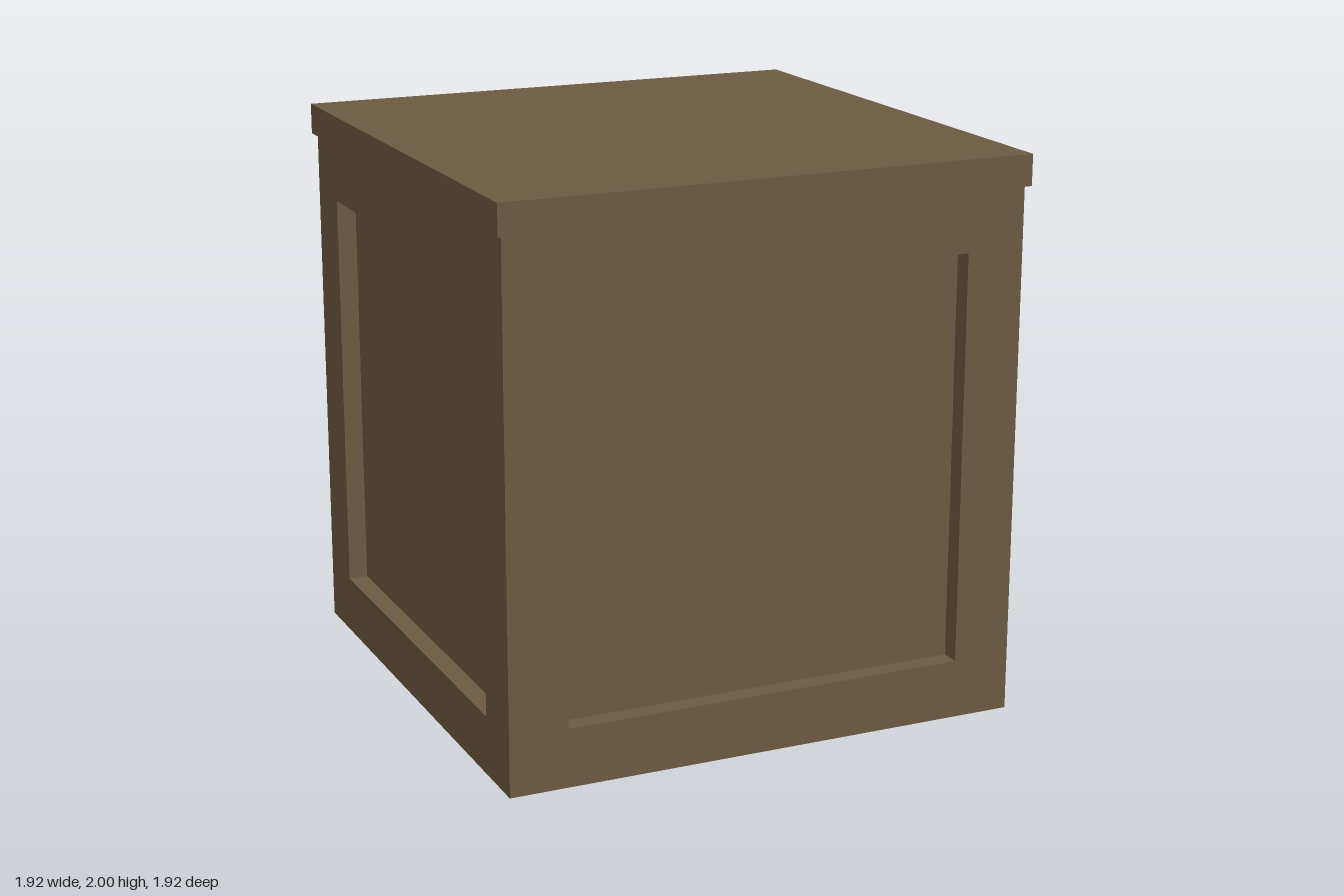
import * as THREE from 'three';

const HALF = 0.943;    // half the body's side
const PANEL = 0.733;   // half the sunken panel's side
const DEPTH = 0.07;    // how far each panel is sunk
const LID = 0.96;      // half the lid's side
const LID_HEIGHT = 0.11;

// One face of the crate facing +y: flat frame, recess walls and sunken panel,
// made as a four-sided lathe.
function panelledFace() {
  const profile = [
    [HALF, HALF],
    [PANEL, HALF],
    [PANEL, HALF - DEPTH],
    [0, HALF - DEPTH],
  ].map(([r, y]) => new THREE.Vector2(r * Math.SQRT2, y));
  const geometry = new THREE.LatheGeometry(profile, 4, Math.PI / 4).toNonIndexed();
  geometry.computeVertexNormals();
  return geometry;
}

export function createModel() {
  const model = new THREE.Group();
  model.name = 'crate';

  const wood = new THREE.MeshStandardMaterial({ color: 0x6b5a40 });
  wood.name = 'brown wood';

  // Body: the same panelled face turned to all six directions
  const body = new THREE.Group();
  body.name = 'body';
  body.position.y = HALF;
  const face = panelledFace();
  const q = Math.PI / 2;
  const turns = {
    frontPanel: [q, 0, 0],
    backPanel: [-q, 0, 0],
    leftPanel: [0, 0, -q],
    rightPanel: [0, 0, q],
    bottomPanel: [Math.PI, 0, 0],
    topPanel: [0, 0, 0],
  };
  for (const [name, turn] of Object.entries(turns)) {
    const mesh = new THREE.Mesh(face, wood);
    mesh.name = name;
    mesh.rotation.set(...turn);
    body.add(mesh);
  }
  model.add(body);

  // Lid: a slab slightly wider than the body
  const lid = new THREE.Mesh(new THREE.BoxGeometry(2 * LID, LID_HEIGHT, 2 * LID), wood);
  lid.name = 'lid';
  lid.position.y = 2 - LID_HEIGHT / 2;
  model.add(lid);

  return model;
}
